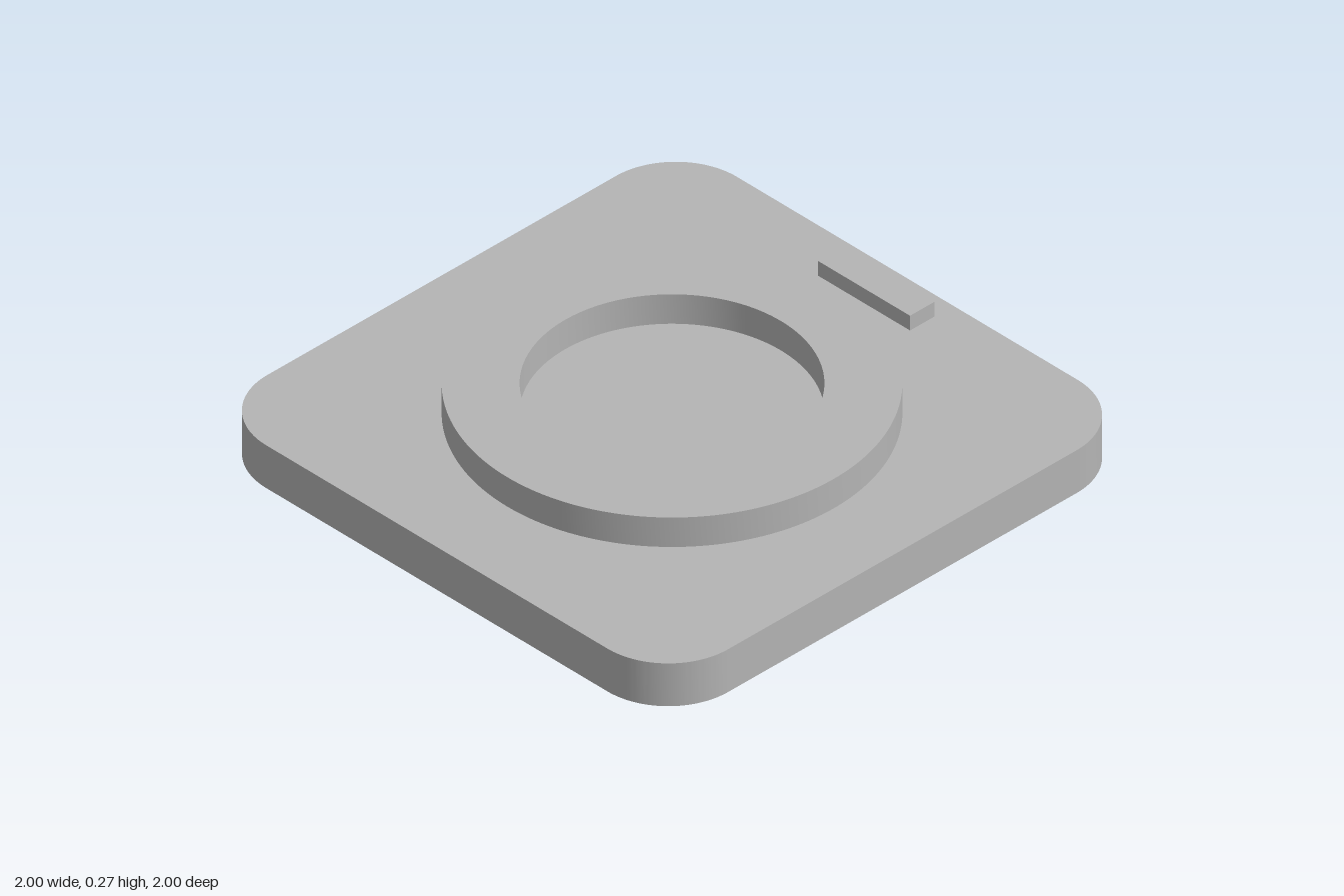
import * as THREE from 'three';
import { toCreasedNormals } from 'three/addons/utils/BufferGeometryUtils.js';

const PLATE_TOP = 0.16;

// Extrudes a plan outline upward from y0 to y1, with smooth curved walls and sharp rims
function slab(shape, y0, y1, curveSegments) {
  const geo = new THREE.ExtrudeGeometry(shape, { depth: y1 - y0, bevelEnabled: false, curveSegments });
  geo.rotateX(-Math.PI / 2);
  geo.translate(0, y0, 0);
  return toCreasedNormals(geo, Math.PI / 6);
}

// Square outline with rounded corners
function roundedSquare(half, r) {
  const s = new THREE.Shape();
  const c = half - r;
  s.absarc(c, c, r, 0, Math.PI / 2);
  s.absarc(-c, c, r, Math.PI / 2, Math.PI);
  s.absarc(-c, -c, r, Math.PI, Math.PI * 1.5);
  s.absarc(c, -c, r, Math.PI * 1.5, Math.PI * 2);
  s.closePath();
  return s;
}

export function createModel() {
  const group = new THREE.Group();
  group.name = 'ringPlate';
  const grey = new THREE.MeshStandardMaterial({ color: 0xb4b4b4 });
  grey.name = 'grey';

  const add = (name, geo) => {
    const mesh = new THREE.Mesh(geo, grey);
    mesh.name = name;
    group.add(mesh);
    return mesh;
  };

  // Rounded base plate
  add('basePlate', slab(roundedSquare(1, 0.26), 0, PLATE_TOP, 24));

  // Raised ring, open in the middle down to the plate
  const ring = new THREE.Shape().absarc(0, 0, 0.7, 0, Math.PI * 2);
  ring.holes.push(new THREE.Path().absarc(0, 0, 0.463, 0, Math.PI * 2, true));
  add('raisedRing', slab(ring, PLATE_TOP, 0.27, 96));

  // Small bar near the back edge
  add('backBar', new THREE.BoxGeometry(0.4, 0.055, 0.104)).position.set(0, PLATE_TOP + 0.0275, -0.868);

  return group;
}
